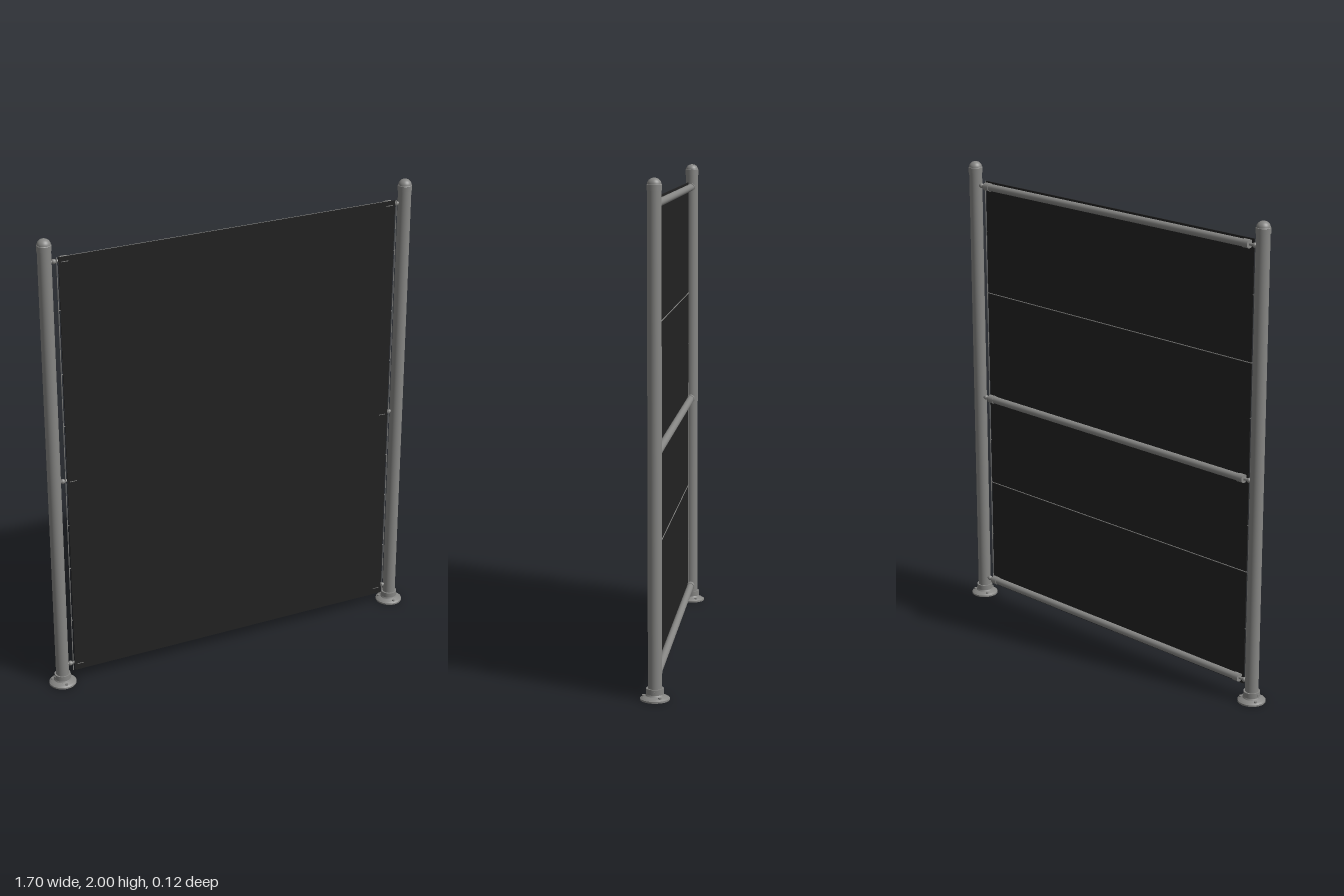
import * as THREE from 'three';

const steel = new THREE.MeshStandardMaterial({ color: 0x868684 });
steel.name = 'grey steel';
const black = new THREE.MeshStandardMaterial({ color: 0x222222 });
black.name = 'black panel';

const RAIL_Z = -0.002;
const RAIL_HEIGHTS = [1.9, 0.95, 0.083];

function add(parent, name, geometry, material, x = 0, y = 0, z = 0) {
  const mesh = new THREE.Mesh(geometry, material);
  mesh.name = name;
  mesh.position.set(x, y, z);
  parent.add(mesh);
  return mesh;
}

// Cylinder lying along x, from x0 to x1
function barX(parent, name, r, x0, x1, y, z) {
  const bar = add(parent, name, new THREE.CylinderGeometry(r, r, Math.abs(x1 - x0), 24), steel, (x0 + x1) / 2, y, z);
  bar.rotation.z = Math.PI / 2;
}

// Lathe profile made of separate straight bands, so the edges stay sharp
function bands(parent, name, points) {
  const group = new THREE.Group();
  group.name = name;
  for (let i = 0; i + 1 < points.length; i++) {
    const pair = [points[i], points[i + 1]].map(([r, y]) => new THREE.Vector2(r, y));
    add(group, name + 'Band', new THREE.LatheGeometry(pair, 32), steel);
  }
  parent.add(group);
}

function createPost(side) {
  const post = new THREE.Group();
  post.name = side > 0 ? 'leftPost' : 'rightPost';
  post.position.x = side * 0.79;
  add(post, 'tube', new THREE.CylinderGeometry(0.0275, 0.0275, 1.95, 32), steel, 0, 0.98);

  // Floor flange with raised collar
  bands(post, 'flange', [
    [0, 0], [0.0575, 0], [0.0575, 0.007], [0.05, 0.012], [0.037, 0.018], [0.034, 0.024], [0.034, 0.046], [0.027, 0.046],
  ]);
  // Screws around the flange
  for (let i = 0; i < 3; i++) {
    const a = Math.PI / 2 + (i * Math.PI * 2) / 3;
    add(post, 'flangeScrew', new THREE.CylinderGeometry(0.006, 0.006, 0.008, 12), steel,
      0.045 * Math.cos(a), 0.015, 0.045 * Math.sin(a));
  }
  // Grub screw in the collar
  barX(post, 'collarScrew', 0.004, 0.03 * side, 0.037 * side, 0.035, 0);

  // Rounded top cap
  bands(post, 'capRim', [[0.026, 1.952], [0.0295, 1.952], [0.0295, 1.974], [0.0275, 1.976]]);
  const dome = add(post, 'capDome', new THREE.SphereGeometry(0.0275, 32, 12, 0, Math.PI * 2, 0, Math.PI / 2), steel, 0, 1.975);
  dome.scale.y = 0.025 / 0.0275;
  return post;
}

export function createModel() {
  const model = new THREE.Group();
  model.name = 'privacyScreen';

  for (const side of [-1, 1]) model.add(createPost(side));

  // Thin sheet in front of the rails
  add(model, 'panel', new THREE.BoxGeometry(1.476, 1.865, 0.004), black, 0, 0.9875, 0.0133);

  // Rails with end sleeves and joints to the posts
  for (const y of RAIL_HEIGHTS) {
    barX(model, 'rail', 0.0152, -0.72, 0.72, y, RAIL_Z);
    for (const s of [-1, 1]) {
      barX(model, 'railSleeve', 0.0175, 0.698 * s, 0.727 * s, y, RAIL_Z);
      barX(model, 'railJoint', 0.006, 0.727 * s, 0.768 * s, y, RAIL_Z);
      add(model, 'jointKnuckle', new THREE.SphereGeometry(0.0105, 16, 12), steel, 0.752 * s, y, RAIL_Z);
    }
  }

  // Thin wires across the back of the sheet
  for (const y of [1.427, 0.55]) barX(model, 'backWire', 0.0018, -0.738, 0.738, y, 0.0105);

  // Thin wires along the sides of the sheet
  for (const s of [-1, 1]) {
    add(model, 'edgeWire', new THREE.CylinderGeometry(0.0018, 0.0018, 1.865, 10), steel, 0.745 * s, 0.9875, 0.0125);
    for (const y of [1.7, 1.427, 1.2, 0.75, 0.55, 0.3]) barX(model, 'edgeTie', 0.0018, 0.736 * s, 0.746 * s, y, 0.0125);
  }
  return model;
}
